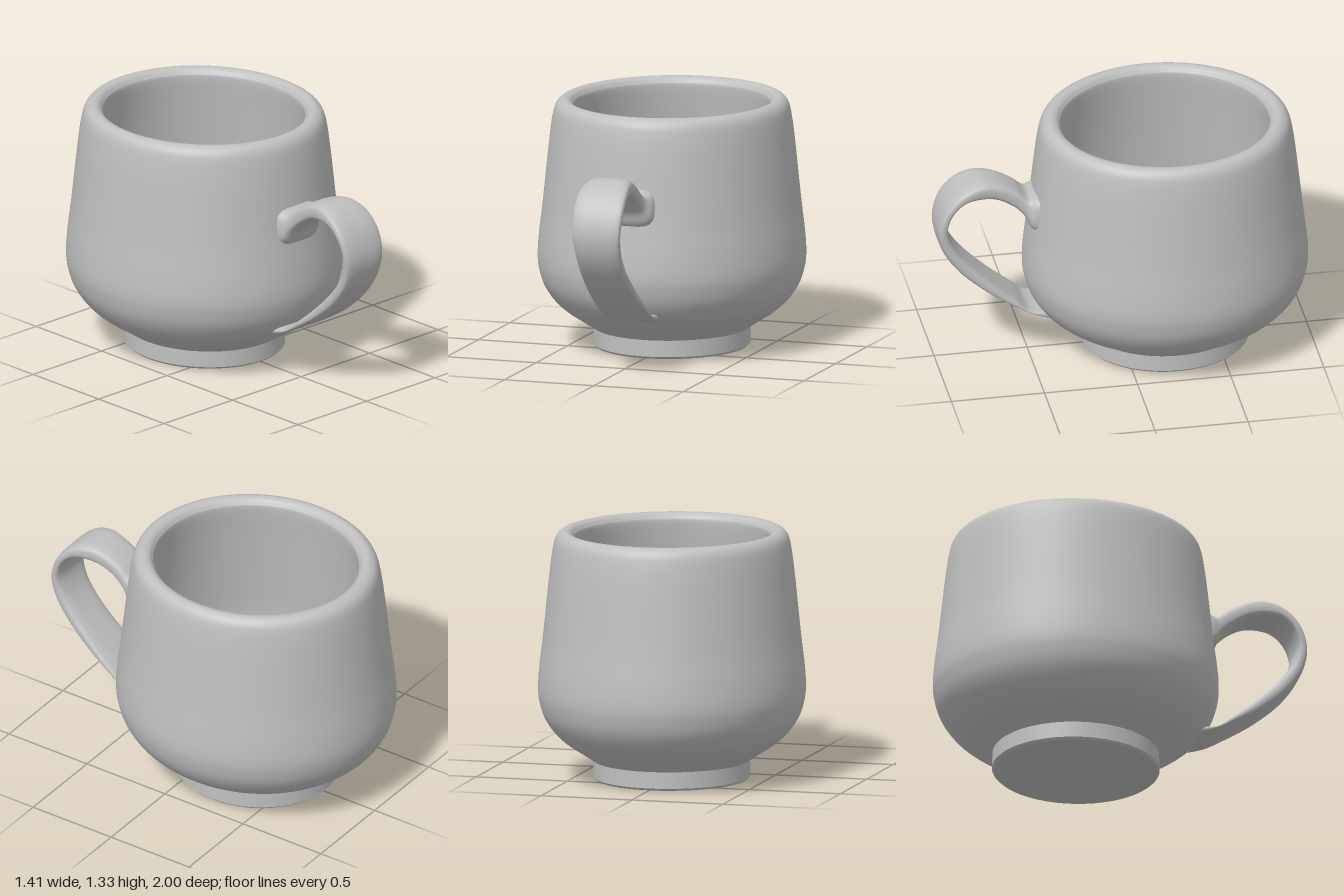
import * as THREE from 'three';

const CENTER_Z = -0.24, DEPTH = 1.078; // the bowl is slightly oval, deeper than wide

const clay = new THREE.MeshStandardMaterial({ color: 0xbfbfbf });
clay.name = 'grey clay';

// Turned part, from [radius, height] points; smooth profiles are splined
function turned(name, profile, smooth = 0) {
  let pts = profile.map(([r, y]) => new THREE.Vector2(r, y));
  if (smooth) pts = new THREE.SplineCurve(pts).getPoints(smooth);
  const geo = new THREE.LatheGeometry(pts, 96);
  geo.scale(1, 1, DEPTH);
  geo.translate(0, 0, CENTER_Z);
  const mesh = new THREE.Mesh(geo, clay);
  mesh.name = name;
  return mesh;
}

// Strap handle: rounded cross-sections between an outer and an inner curve
function strapHandle() {
  // [outer z, outer y, inner z, inner y, half width, x centre]
  const rows = [
    [0.40, 0.98, 0.40, 0.72, 0.16, 0.005],
    [0.46, 0.965, 0.495, 0.77, 0.14, 0.005],
    [0.505, 0.95, 0.53, 0.84, 0.117, 0],
    [0.57, 1.0, 0.585, 0.897, 0.106, 0],
    [0.666, 1.05, 0.676, 0.952, 0.111, 0],
    [0.757, 1.067, 0.757, 0.968, 0.123, 0],
    [0.863, 1.032, 0.845, 0.96, 0.134, 0.001],
    [0.954, 0.94, 0.91, 0.905, 0.138, 0.002],
    [0.997, 0.81, 0.94, 0.81, 0.132, 0.003],
    [0.976, 0.687, 0.912, 0.715, 0.125, 0.005],
    [0.89, 0.553, 0.837, 0.607, 0.124, 0.007],
    [0.74, 0.42, 0.69, 0.46, 0.131, 0.011],
    [0.60, 0.332, 0.57, 0.357, 0.138, 0.013],
    [0.495, 0.275, 0.51, 0.305, 0.141, 0.013],
    [0.40, 0.235, 0.40, 0.29, 0.141, 0.013],
  ];
  const outer = new THREE.CatmullRomCurve3(rows.map(r => new THREE.Vector3(r[4], r[1], r[0])));
  const inner = new THREE.CatmullRomCurve3(rows.map(r => new THREE.Vector3(r[5], r[3], r[2])));
  const steps = 112, sides = 32, pos = [], index = [];
  const round = v => Math.sign(v) * Math.pow(Math.abs(v), 0.6);
  for (let i = 0; i <= steps; i++) {
    const o = outer.getPoint(i / steps), n = inner.getPoint(i / steps);
    for (let j = 0; j < sides; j++) {
      const a = (j / sides) * Math.PI * 2;
      const u = round(Math.cos(a)), k = (round(Math.sin(a)) + 1) / 2;
      pos.push(n.x + o.x * u, n.y + (o.y - n.y) * k, n.z + (o.z - n.z) * k);
      if (i === steps) continue;
      const p = i * sides + j, q = i * sides + (j + 1) % sides;
      index.push(p, q, p + sides, q, q + sides, p + sides);
    }
  }
  const geo = new THREE.BufferGeometry();
  geo.setAttribute('position', new THREE.Float32BufferAttribute(pos, 3));
  geo.setIndex(index);
  geo.computeVertexNormals();
  const mesh = new THREE.Mesh(geo, clay);
  mesh.name = 'handle';
  return mesh;
}

export function createModel() {
  const mug = new THREE.Group();
  mug.name = 'mug';

  // Outer wall, rounded rim and inner wall in one sweep
  mug.add(turned('bowl', [
    [0.41, 0.10], [0.48, 0.147], [0.555, 0.197], [0.62, 0.258], [0.67, 0.335],
    [0.695, 0.415], [0.703, 0.49], [0.696, 0.606], [0.676, 0.777], [0.643, 1.10],
    [0.624, 1.24], [0.606, 1.298], [0.575, 1.324], [0.545, 1.324], [0.523, 1.305],
    [0.515, 1.265], [0.535, 1.08], [0.565, 0.80], [0.585, 0.58], [0.575, 0.43],
    [0.52, 0.31], [0.42, 0.23], [0.32, 0.18],
  ], 132));

  // Flat floor inside, set a little below the wall
  mug.add(turned('floorEdge', [[0.32, 0.18], [0.31, 0.165]]));
  mug.add(turned('floor', [[0.31, 0.165], [0, 0.165]]));

  // Foot with a small chamfer and a closed base
  mug.add(turned('foot', [[0.412, 0.012], [0.41, 0.103]]));
  mug.add(turned('footChamfer', [[0.40, 0], [0.412, 0.012]]));
  mug.add(turned('base', [[0, 0], [0.40, 0]]));

  mug.add(strapHandle());
  return mug;
}
